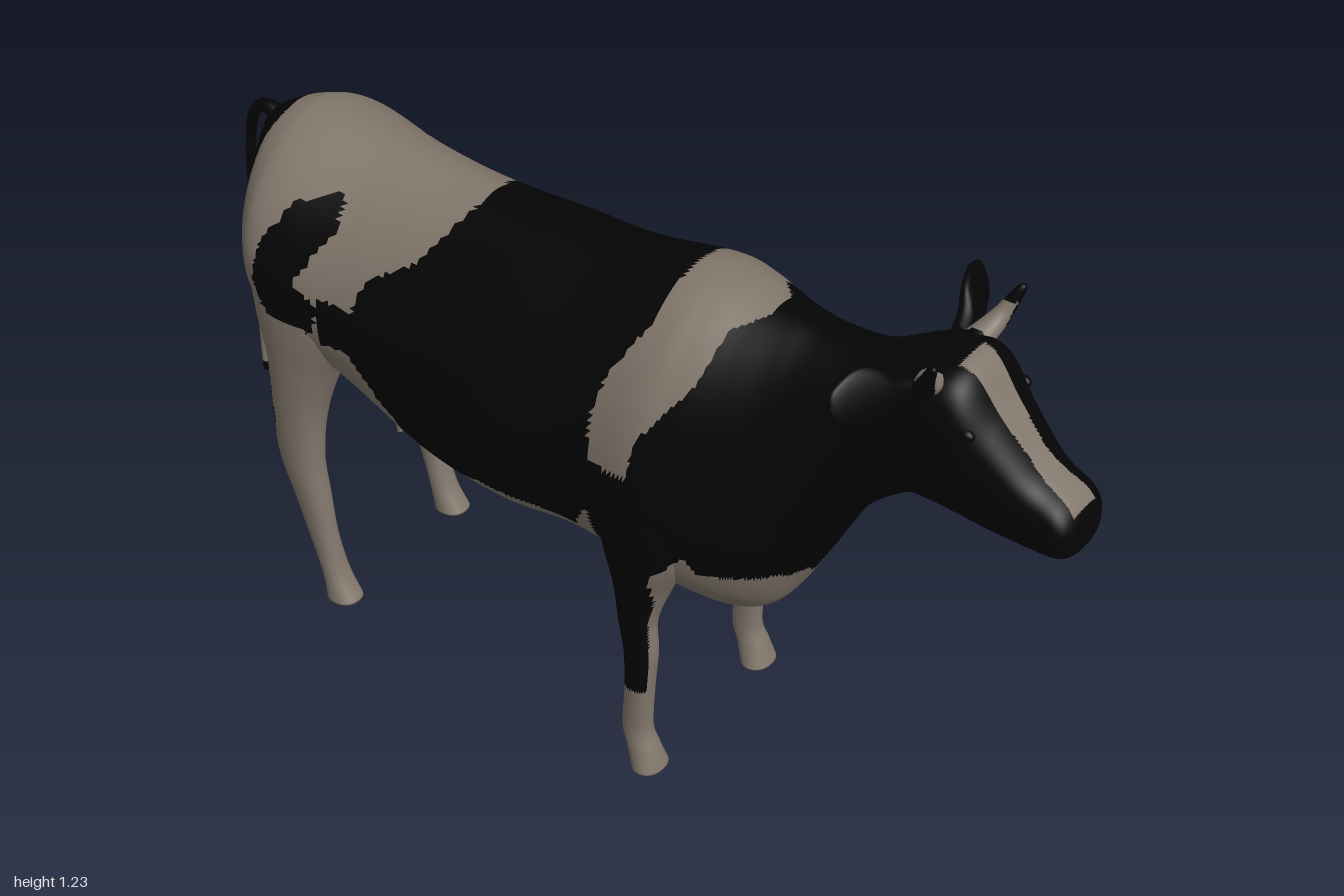
import * as THREE from 'three';

const black = new THREE.MeshStandardMaterial({ color: 0x040404 });
black.name = 'black coat';
const taupe = new THREE.MeshStandardMaterial({ color: 0x81766b });
taupe.name = 'taupe coat';

// Coat pattern: outlines in side profile (x, y), the same on both flanks
const shoulderBand = [[.14, 1.2], [.125, 1.06], [.07, .96], [.05, .87], [.06, .78], [.15, .78], [.165, .87], [.25, .99],
  [.27, 1.08], [.32, 1.1], [.32, 1.2]];
const hindPatch = [[-.34, 1.2], [-.355, 1.09], [-.42, .99], [-.52, .93], [-.54, .86], [-.62, .865], [-.62, .75],
  [-.55, .76], [-.46, .62], [-.46, .51], [-.38, .5], [-.24, .57], [0, .57], [.05, .67], [.06, 0], [-.85, 0],
  [-.765, .5], [-.78, .64], [-.82, .67], [-.86, 1.08], [-.82, 1.2]];
const hipSpot = [[-.78, .86], [-.76, .95], [-.71, 1.03], [-.62, 1.06], [-.61, 1], [-.68, .88], [-.62, .84], [-.64, .77], [-.77, .78]];
const brisket = [[.175, .1], [.19, .54], [.26, .61], [.28, .56], [.42, .57], [.46, .62], [.5, .1]];

function inside(poly, x, y) {
  let hit = false;
  for (let i = 0, j = poly.length - 1; i < poly.length; j = i++) {
    const [ax, ay] = poly[i], [bx, by] = poly[j];
    if (ay > y !== by > y && x < (bx - ax) * (y - ay) / (by - ay) + ax) hit = !hit;
  }
  return hit;
}

function isTaupe(x, y, z) {
  const w = Math.abs(z);
  if (y < .21) return true;                                           // lower legs
  if (x > .73) return x < .985 && y > .915 && w < .026 + .12 * Math.abs(x - .88); // blaze
  if (x > .05 && x < .3 && y < .5 && w < .19 + .35 * (x - .1)) return true; // front and inside of front legs
  if (x < -.7 && y < .75 && w < .13) return true;                     // inner thighs
  if (inside(hipSpot, x, y)) return false;
  return inside(shoulderBand, x, y) || inside(hindPatch, x, y)
    || inside(brisket, x, y + .06 * Math.max(0, 1 - w / .12));        // the edge dips at the breastbone
}

// Smoothly interpolates the rows of a small table
function sample(rows, u) {
  const f = u * (rows.length - 1), i = Math.min(Math.floor(f), rows.length - 2), t = f - i;
  const a = rows[Math.max(i - 1, 0)], b = rows[i], c = rows[i + 1], d = rows[Math.min(i + 2, rows.length - 1)];
  return b.map((v, k) => v + .5 * t * (c[k] - a[k] + t * (2 * a[k] - 5 * v + 4 * c[k] - d[k]
    + t * (3 * (v - c[k]) + d[k] - a[k]))));
}

// Closed loft: point(row, angle) gives a ring for each row; faces are sorted by coat colour
function loft(name, rows, point, nu, nt, paint, mirror = 1) {
  const pos = [], tris = [];
  for (let i = 0; i <= nu; i++) {
    const row = sample(rows, i / nu);
    for (let j = 0; j < nt; j++) {
      const [x, y, z] = point(row, j / nt * Math.PI * 2);
      pos.push(x, y, z * mirror);
    }
  }
  const last = (nu + 1) * nt;
  for (const start of [0, nu * nt]) {
    const c = [0, 0, 0];
    for (let j = 0; j < nt * 3; j++) c[j % 3] += pos[start * 3 + j] / nt;
    pos.push(...c);
  }
  for (let j = 0; j < nt; j++) {
    const k = (j + 1) % nt;
    tris.push([last, k, j], [last + 1, nu * nt + j, nu * nt + k]);
    for (let i = 0; i < nu; i++) {
      const a = i * nt + j, b = i * nt + k;
      tris.push([a, b, a + nt], [b, b + nt, a + nt]);
    }
  }
  const v = (i) => new THREE.Vector3().fromArray(pos, i * 3);
  let volume = 0;
  const sorted = [[], []];
  for (const t of tris) {
    const [a, b, c] = t.map(v);
    volume += a.dot(b.clone().cross(c));
    const m = a.add(b).add(c).divideScalar(3);
    sorted[paint(m.x, m.y, m.z) ? 1 : 0].push(t);
  }
  const geo = new THREE.BufferGeometry();
  geo.setAttribute('position', new THREE.Float32BufferAttribute(pos, 3));
  geo.setIndex(sorted.flat().flatMap(([a, b, c]) => (volume > 0 ? [a, b, c] : [a, c, b])));
  geo.addGroup(0, sorted[0].length * 3, 0);
  geo.addGroup(sorted[0].length * 3, sorted[1].length * 3, 1);
  geo.computeVertexNormals();
  const mesh = new THREE.Mesh(geo, [black, taupe]);
  mesh.name = name;
  return mesh;
}

const power = (v, n) => Math.sign(v) * Math.abs(v) ** (2 / n);

// Torso, neck and head: x, top, bottom, height of widest point, half width
const bodyRows = [
  [-.93, 1.06, 1.02, 1.04, .01], [-.89, 1.1, .86, .99, .1], [-.83, 1.13, .73, .91, .215], [-.76, 1.137, .67, .88, .252],
  [-.58, 1.113, .57, .81, .24], [-.4, 1.099, .472, .77, .243], [-.2, 1.1, .46, .75, .265], [-.03, 1.108, .473, .74, .256],
  [.14, 1.128, .46, .74, .27], [.22, 1.124, .425, .74, .252], [.3, 1.108, .405, .75, .217], [.37, 1.1, .435, .77, .183],
  [.44, 1.096, .555, .84, .153], [.54, 1.108, .735, .93, .124], [.64, 1.155, .825, 1.02, .118], [.7, 1.166, .834, 1.05, .122],
  [.76, 1.158, .83, 1.03, .118], [.82, 1.08, .822, .97, .103], [.9, .99, .818, .91, .086], [.965, .95, .823, .887, .08],
  [.99, .92, .838, .88, .06], [1, .89, .862, .876, .02]];
// The back is ridged, the belly and head are fuller
const bodyPoint = ([x, top, bottom, mid, w], t) => {
  const { smoothstep } = THREE.MathUtils, up = Math.cos(t) > 0;
  const n = up ? 1.75 + .2 * smoothstep(x, -.1, .2) + .75 * smoothstep(x, .5, .72) : 2.4;
  const c = power(Math.cos(t), n);
  return [x, mid + c * (up ? top - mid : mid - bottom), w * power(Math.sin(t), n)];
};

// Legs: y, back x, front x, inner z, outer z
const hindRows = [
  [.05, -.68, -.605, .15, .222], [.11, -.692, -.638, .155, .215], [.2, -.722, -.658, .16, .215], [.3, -.752, -.672, .155, .222],
  [.4, -.782, -.682, .15, .23], [.52, -.79, -.673, .13, .238], [.64, -.8, -.635, .1, .244], [.76, -.838, -.575, .06, .246],
  [.9, -.86, -.565, .04, .235], [1, -.82, -.62, .04, .18]];
const foreRows = [
  [.005, .13, .196, .155, .24], [.05, .115, .181, .165, .232], [.1, .1, .165, .17, .225], [.2, .107, .168, .168, .228],
  [.3, .106, .176, .165, .232], [.38, .092, .172, .158, .234], [.47, .078, .2, .13, .244], [.58, .05, .25, .1, .262],
  [.7, .04, .26, .08, .264], [.85, .07, .23, .06, .24]];
const legPoint = ([y, x0, x1, z0, z1], t) => [
  (x0 + x1) / 2 + (x1 - x0) / 2 * power(Math.cos(t), 2.2), y, (z0 + z1) / 2 + (z1 - z0) / 2 * power(Math.sin(t), 2.2)];

// Ears: z, centre x, centre y, half height, half thickness
const earRows = [[.09, .655, 1.115, .022, .02], [.125, .645, 1.128, .024, .018], [.155, .635, 1.138, .044, .017],
  [.2, .62, 1.142, .05, .015], [.25, .606, 1.139, .035, .009], [.266, .6, 1.136, .008, .003]];
const earPoint = ([z, x, y, h, d], t) => [x + d * Math.sin(t) - .35 * h * Math.cos(t), y + h * Math.cos(t), z];

// Horns: x, y, z, radius
const hornRows = [[.69, 1.132, .05, .032], [.7, 1.145, .1, .027], [.715, 1.172, .135, .019], [.738, 1.222, .154, .01],
  [.742, 1.232, .16, .002]];
const hornPoint = ([x, y, z, r], t) => [x + r * Math.cos(t), y - .6 * r * Math.sin(t), z + .8 * r * Math.sin(t)];

// Tail: x, y, radius, turn of the ring through the bend
const tailRows = [[-.89, 1.055, .026, .7], [-.918, 1.076, .018, .5], [-.945, 1.076, .014, -.3], [-.97, 1.045, .012, -1],
  [-.983, .98, .011, -1.4], [-.99, .85, .01, -1.57], [-.99, .44, .009, -1.57], [-.99, .388, .003, -1.57]];
const tailPoint = ([x, y, r, a], t) => [x + r * Math.cos(t) * Math.sin(a), y + r * Math.cos(t) * Math.cos(a), r * Math.sin(t)];

function ball(name, material, x, y, z, sx, sy, sz) {
  const mesh = new THREE.Mesh(new THREE.SphereGeometry(1, 32, 20), material);
  mesh.name = name;
  mesh.position.set(x, y, z);
  mesh.scale.set(sx, sy, sz);
  return mesh;
}

export function createModel() {
  const cow = new THREE.Group();
  cow.name = 'cow';
  cow.add(loft('bodyAndHead', bodyRows, bodyPoint, 300, 140, isTaupe));
  cow.add(loft('tail', tailRows, tailPoint, 90, 12, (x, y) => y < .61 && y > .415));

  // Paired parts
  for (const side of [1, -1]) {
    cow.add(loft('hindLeg', hindRows, legPoint, 100, 36, isTaupe, side));
    cow.add(loft('frontLeg', foreRows, legPoint, 100, 36, isTaupe, side));
    cow.add(loft('ear', earRows, earPoint, 24, 20, () => false, side));
    // Horns are pale on the inside and dark outside
    cow.add(loft('horn', hornRows, hornPoint, 30, 20,
      (x, y, z) => y < 1.2 && Math.abs(z) > .075 && Math.abs(z) < .12 + .5 * (y - 1.15), side));
    cow.add(ball('eye', black, .785, 1.065, side * .1, .018, .014, .012));

    // Teats
    for (const x of [-.595, -.55]) {
      const teat = new THREE.Mesh(new THREE.CylinderGeometry(.014, .006, .06, 12), taupe);
      teat.name = 'teat';
      teat.position.set(x, .448, side * .035);
      cow.add(teat);
    }
  }
  cow.add(ball('udder', taupe, -.57, .545, 0, .1, .092, .1));
  return cow;
}
